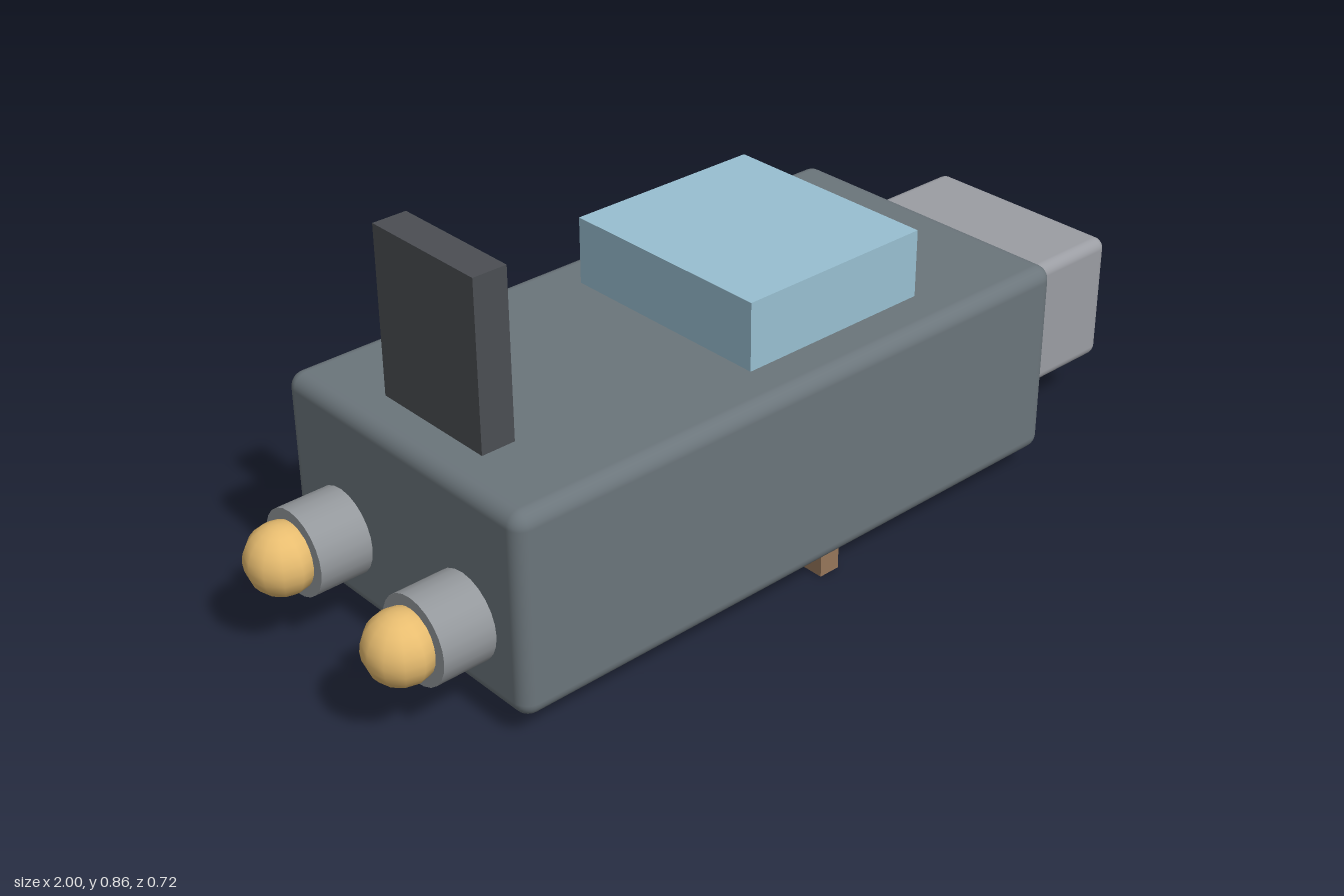
import * as THREE from 'three';
import { RoundedBoxGeometry } from 'three/addons/geometries/RoundedBoxGeometry.js';

export function createModel() {
  const model = new THREE.Group();

  const add = (name, geometry, color, x, y, z = 0) => {
    const mesh = new THREE.Mesh(geometry, new THREE.MeshStandardMaterial({ color }));
    mesh.name = name;
    mesh.position.set(x, y, z);
    model.add(mesh);
    return mesh;
  };

  // Box given by its x and y limits and its depth; a radius rounds its edges
  const block = (name, color, x0, x1, y0, y1, depth, radius = 0) => {
    const size = [x1 - x0, y1 - y0, depth];
    const geometry = radius
      ? new RoundedBoxGeometry(...size, 4, radius)
      : new THREE.BoxGeometry(...size);
    return add(name, geometry, color, (x0 + x1) / 2, (y0 + y1) / 2);
  };

  // Hull and nose
  block('hull', 0x6b757b, -0.78, 0.665, 0.048, 0.492, 0.722, 0.033);
  block('nose', 0x9b9da3, 0.6, 0.998, 0.108, 0.404, 0.49, 0.025);

  // Cabin, tail fin and the skid under the hull
  block('cabin', 0x98bfd1, -0.119, 0.346, 0.45, 0.642, 0.51);
  block('tailFin', 0x4b4e53, -0.691, -0.615, 0.45, 0.855, 0.298);
  block('skid', 0x96765a, 0.003, 0.053, 0, 0.08, 0.682);

  // Twin engines with glowing tips
  for (const [side, z] of [['left', 0.192], ['right', -0.192]].map(([s, v]) => [s === 'left' ? 'front' : 'back', v])) {
    const nozzle = add(side + 'Nozzle', new THREE.CylinderGeometry(0.093, 0.093, 0.16, 24), 0x94989c, -0.818, 0.207, z);
    nozzle.rotation.z = Math.PI / 2;
    add(side + 'EngineGlow', new THREE.SphereGeometry(0.075, 12, 12), 0xe8bd70, -0.925, 0.207, z);
  }

  return model;
}
